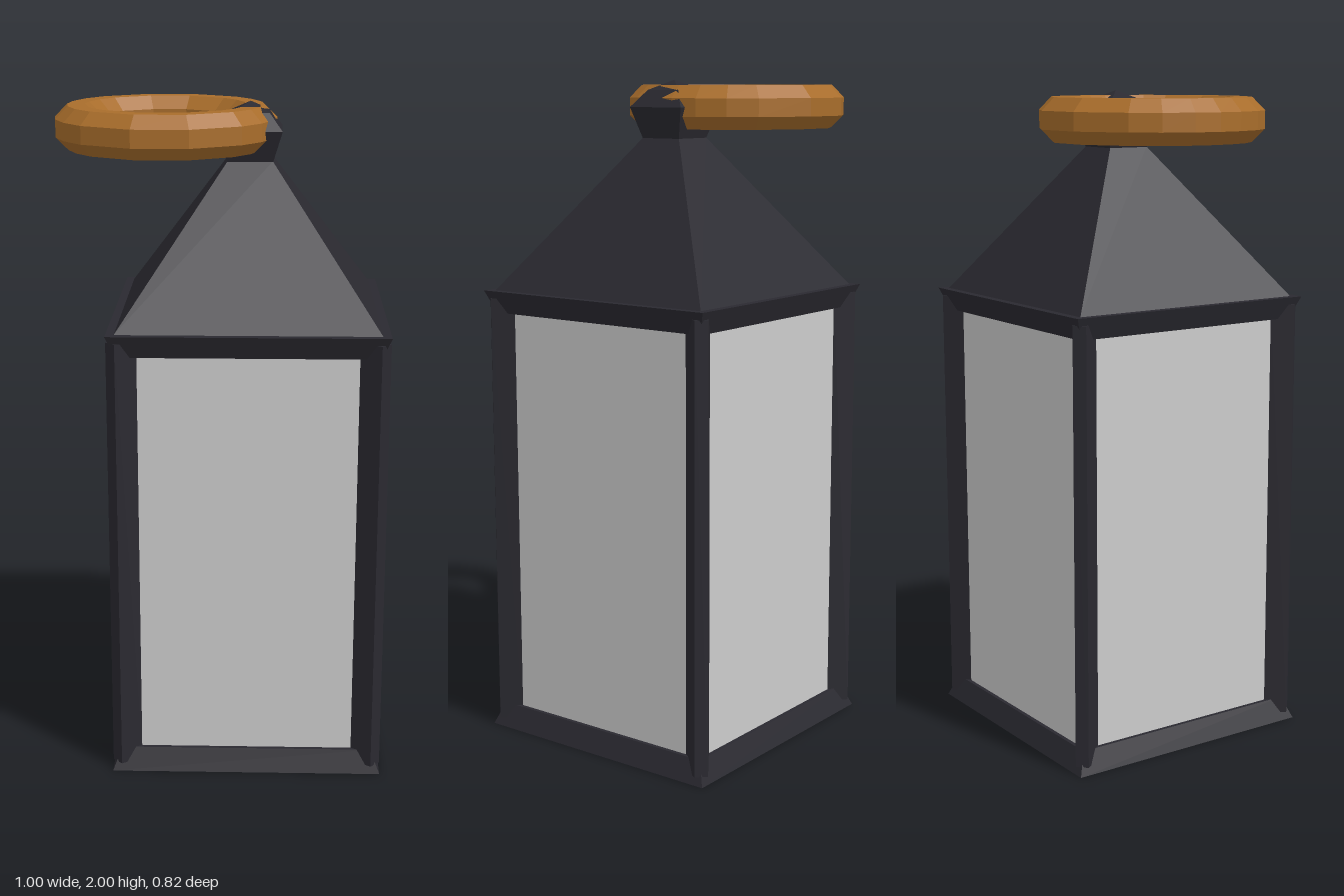
import * as THREE from 'three';

const iron = new THREE.MeshStandardMaterial({ color: 0x2a2930, flatShading: true });
const brass = new THREE.MeshStandardMaterial({ color: 0xa86d2b, flatShading: true });
const glass = new THREE.MeshStandardMaterial({ color: 0xcccccc, flatShading: true });

function part(name, geometry, material) {
  const mesh = new THREE.Mesh(geometry, material);
  mesh.name = name;
  return mesh;
}

// Square frustum given by half-widths at its lower and upper heights
function frustum(name, y0, half0, y1, half1, material = iron) {
  const g = new THREE.CylinderGeometry(half1 * Math.SQRT2, half0 * Math.SQRT2, y1 - y0, 4);
  g.rotateY(Math.PI / 4).translate(0, (y0 + y1) / 2, 0);
  return part(name, g, material);
}

// Octagonal tube swept round unevenly spaced angles
function ringGeometry(R, r) {
  const quarter = [0, 14, 30, 46, 75.5];
  const half = [...quarter, ...quarter.slice(1).reverse().map(a => 180 - a)];
  const angles = [...half, ...half.map(a => a + 180)];
  const sides = 8, n = angles.length, pos = [], index = [];
  for (const deg of angles) {
    const a = THREE.MathUtils.degToRad(deg);
    for (let j = 0; j < sides; j++) {
      const b = ((j + 0.5) / sides) * Math.PI * 2;
      const d = R + r * Math.cos(b);
      pos.push(d * Math.cos(a), r * Math.sin(b), d * Math.sin(a));
    }
  }
  for (let i = 0; i < n; i++) {
    for (let j = 0; j < sides; j++) {
      const k = (j + 1) % sides, m = (i + 1) % n;
      const p = i * sides + j, q = i * sides + k, s = m * sides + j, t = m * sides + k;
      index.push(p, q, s, q, t, s);
    }
  }
  const g = new THREE.BufferGeometry();
  g.setAttribute('position', new THREE.Float32BufferAttribute(pos, 3));
  g.setIndex(index);
  g.computeVertexNormals();
  return g;
}

export function createModel() {
  const model = new THREE.Group();
  model.name = 'lantern';

  const body = new THREE.Group();
  body.name = 'body';
  body.position.x = 0.09;
  model.add(body);

  // Bevelled base, glass box, bevelled rim and roof
  body.add(
    frustum('base', 0, 0.41, 0.068, 0.382),
    frustum('glassPanels', 0.06, 0.37, 1.32, 0.37, glass),
    frustum('rim', 1.31, 0.382, 1.378, 0.41),
    frustum('roof', 1.378, 0.385, 1.83, 0.067),
  );

  // Corner posts: chamfered outside, sloping in to the glass
  const profile = new THREE.Shape([
    [0.322, 0.322], [0.37, 0.322], [0.41, 0.382], [0.382, 0.41], [0.322, 0.37],
  ].map(([x, y]) => new THREE.Vector2(x, y)));
  const postGeometry = new THREE.ExtrudeGeometry(profile, { depth: 1.33, bevelEnabled: false });
  postGeometry.rotateX(-Math.PI / 2).translate(0, 0.025, 0);
  for (let i = 0; i < 4; i++) {
    const post = part('cornerPost', postGeometry, iron);
    post.rotation.y = (i * Math.PI) / 2;
    body.add(post);
  }

  // Faceted square finial
  const finial = new THREE.Group();
  finial.name = 'finial';
  finial.add(
    frustum('finialNeck', 1.825, 0.067, 1.92, 0.095),
    frustum('finialShoulder', 1.92, 0.095, 1.97, 0.057),
    frustum('finialTip', 1.97, 0.057, 2.0, 0),
  );
  body.add(finial);

  // Carrying ring threaded through the finial
  const ring = part('carryingRing', ringGeometry(0.27, 0.07), brass);
  ring.position.set(-0.165, 1.92, -0.05);
  model.add(ring);

  return model;
}
